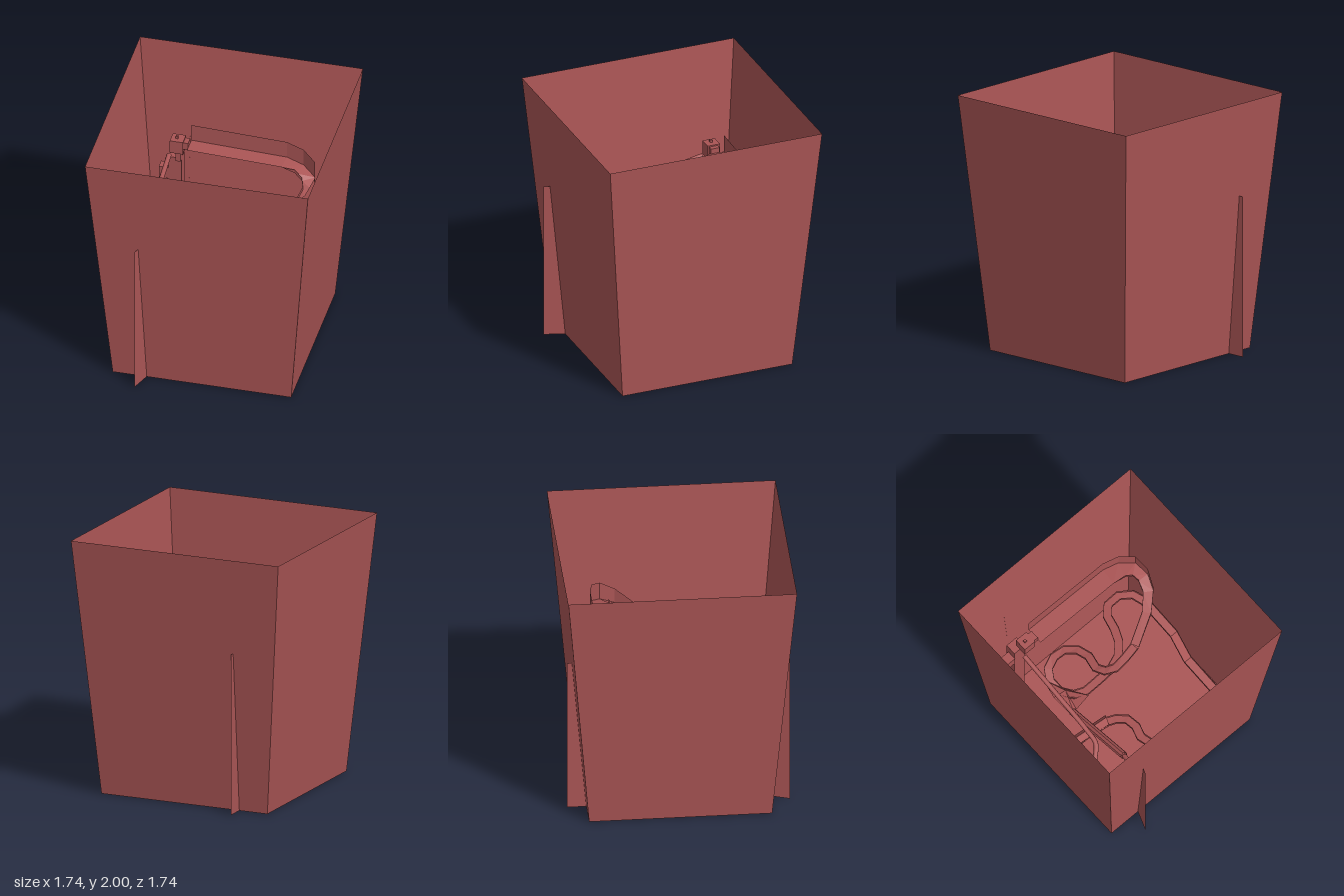
import * as THREE from 'three';

const mat = new THREE.MeshStandardMaterial({ color: 0xaa5555, flatShading: true, side: THREE.DoubleSide });
const smoothMat = new THREE.MeshStandardMaterial({ color: 0xaa5555, side: THREE.DoubleSide });

// grid of cross-sections (arrays of Vector3) joined into a sheet
function loft(rows) {
  const n = rows[0].length, pos = [], idx = [];
  rows.forEach(r => r.forEach(p => pos.push(p.x, p.y, p.z)));
  for (let i = 0; i < rows.length - 1; i++) {
    for (let j = 0; j < n - 1; j++) {
      const a = i * n + j, b = a + 1, c = a + n, d = c + 1;
      idx.push(a, c, b, b, c, d);
    }
  }
  const g = new THREE.BufferGeometry();
  g.setAttribute('position', new THREE.Float32BufferAttribute(pos, 3));
  g.setIndex(idx);
  g.computeVertexNormals();
  return g;
}

const V = (x, y, z) => new THREE.Vector3(x, y, z);

// open channel along [x, y, z, halfWidth, leftWall, rightWall] stations
function channel(stations) {
  const p = stations.map(s => V(s[0], s[1], s[2]));
  return loft(stations.map(([x, y, z, w, hl, hr], i) => {
    const into = p[i].clone().sub(p[Math.max(i - 1, 0)]).setY(0).normalize();
    const out = p[Math.min(i + 1, p.length - 1)].clone().sub(p[i]).setY(0).normalize();
    const d = into.add(out).normalize();
    const at = (o, h) => V(x - d.z * o, y + h, z + d.x * o);
    return [at(-w, hl), at(-w, 0), at(w, 0), at(w, hr)];
  }));
}

export function createModel() {
  const model = new THREE.Group();
  const add = (name, geo, m = mat) => {
    const mesh = new THREE.Mesh(geo, m);
    mesh.name = name;
    model.add(mesh);
    return mesh;
  };
  const box = (name, x0, x1, y0, y1, z0, z1) =>
    add(name, new THREE.BoxGeometry(x1 - x0, y1 - y0, z1 - z0))
      .position.set((x0 + x1) / 2, (y0 + y1) / 2, (z0 + z1) / 2);

  // tapered open bin: four thin walls and a floor
  const B = 0.695, T = 0.868;
  const ring = (r, y) => [V(-r, y, r), V(r, y, r), V(r, y, -r), V(-r, y, -r), V(-r, y, r)];
  add('binWalls', loft([ring(B, 0), ring(T, 2)]));
  add('binFloor', new THREE.PlaneGeometry(2 * B, 2 * B).rotateX(-Math.PI / 2));

  // upright fins poking out through the front and back walls
  const fin = (name, xo, zo, xi, zi, xt, zt) =>
    add(name, loft([[V(xi, 0, zi), V(xo, 0, zo)], [V(xt, 1.255, zt), V(xo, 1.255, zo)]]));
  fin('frontFin', -0.487, 0.85, -0.43, 0.695, -0.47, 0.803);
  fin('backFin', -0.46, -0.84, -0.46, -0.695, -0.46, -0.803);

  // wide upper chute with a tall outer wall, narrowing around the corner
  add('upperChute', channel([
    [-0.4, 1.31, -0.523, 0.068, 0.14, 0], [0.34, 1.28, -0.523, 0.068, 0.14, 0],
    [0.46, 1.25, -0.505, 0.063, 0.14, 0.03], [0.545, 1.2, -0.46, 0.055, 0.14, 0.03],
    [0.565, 1.15, -0.38, 0.045, 0.12, 0.03], [0.53, 1.11, -0.28, 0.04, 0.08, 0.03],
    [0.42, 1.07, -0.17, 0.035, 0.05, 0.03], [0.19, 1.02, -0.045, 0.034, 0.03, 0.03]
  ]));

  // middle chute: hairpin, loop and run under the upper chute
  const midPath = [
    [0.19, 1.0, -0.045], [0.07, 0.98, -0.025], [-0.03, 0.96, -0.02], [-0.1, 0.94, -0.06],
    [-0.13, 0.92, -0.13], [-0.105, 0.9, -0.24], [-0.13, 0.88, -0.34], [-0.2, 0.86, -0.41],
    [-0.29, 0.84, -0.425], [-0.38, 0.82, -0.39], [-0.43, 0.8, -0.31], [-0.425, 0.78, -0.2],
    [-0.36, 0.76, -0.12], [-0.27, 0.75, -0.085], [-0.14, 0.74, -0.09], [0, 0.73, -0.1],
    [0.11, 0.72, -0.145], [0.19, 0.71, -0.23], [0.235, 0.7, -0.33], [0.265, 0.69, -0.45],
    [0.33, 0.68, -0.515], [0.44, 0.67, -0.52], [0.53, 0.66, -0.46], [0.565, 0.65, -0.36]
  ];
  add('middleChute', channel(midPath.map(p => [...p, 0.033, 0.03, 0.03])));

  // lower chute: steep drop, then a winding return to the lift
  const lowPath = [
    [0.565, 0.65, -0.36], [0.565, 0.62, -0.03], [0.565, 0.38, 0.13], [0.565, 0.35, 0.45],
    [0.53, 0.34, 0.53], [0.43, 0.33, 0.56], [0.2, 0.3, 0.51], [0.02, 0.28, 0.475],
    [-0.06, 0.26, 0.42], [-0.08, 0.25, 0.33], [-0.05, 0.24, 0.24], [-0.06, 0.23, 0.15],
    [-0.12, 0.22, 0.09], [-0.18, 0.21, 0.06], [-0.38, 0.17, 0.02], [-0.49, 0.14, 0.015],
    [-0.55, 0.12, -0.04], [-0.56, 0.1, -0.13], [-0.55, 0.08, -0.3]
  ];
  add('lowerChute', channel(lowPath.map(p => [...p, 0.034, 0.03, 0.03])));

  // roof over the lower chute where it passes the pipe
  add('chuteCover', loft([
    [V(-0.19, 0.24, 0.09), V(-0.18, 0.3, 0.05), V(-0.16, 0.24, 0.015)],
    [V(-0.48, 0.2, 0.045), V(-0.48, 0.25, 0.005), V(-0.47, 0.2, -0.03)]
  ]));

  // lift tank, column and header box with spout and knob
  box('catchTank', -0.61, -0.49, 0.01, 0.2, -0.525, -0.28);
  box('liftColumn', -0.57, -0.47, 0, 1.15, -0.65, -0.56);
  box('liftMotor', -0.645, -0.57, 0.95, 1.05, -0.63, -0.555);
  box('headerBox', -0.54, -0.438, 1.25, 1.36, -0.576, -0.475);
  box('headerSpout', -0.438, -0.4, 1.29, 1.35, -0.558, -0.487);
  box('headerKnob', -0.505, -0.485, 1.36, 1.38, -0.535, -0.515);
  box('headerStem', -0.51, -0.47, 1.14, 1.25, -0.59, -0.53);

  // round pipe running forward and curling back
  const pipePts = [V(-0.545, 1.23, -0.475), V(-0.545, 1.15, -0.1), V(-0.547, 1.08, 0.24), V(-0.56, 1.05, 0.36)];
  for (let i = 0; i <= 10; i++) {
    const a = Math.PI * (1.22 - i * 0.122);
    pipePts.push(V(-0.54 + 0.125 * Math.cos(a), 1.0 - i * 0.015, 0.52 + 0.125 * Math.sin(a)));
  }
  add('curledPipe', new THREE.TubeGeometry(new THREE.CatmullRomCurve3(pipePts), 80, 0.019, 10, false), smoothMat);
  add('straightPipe', new THREE.TubeGeometry(
    new THREE.LineCurve3(V(-0.415, 0.85, 0.52), V(-0.415, 0.6, -0.07)), 1, 0.03, 8, false));

  // flared spout at the end of the pipe
  add('flaredSpout', loft([
    [V(-0.445, 0.62, -0.06), V(-0.415, 0.66, -0.07), V(-0.385, 0.62, -0.06)],
    [V(-0.49, 0.78, -0.2), V(-0.4, 0.84, -0.17), V(-0.28, 0.78, -0.04)],
    [V(-0.46, 0.8, -0.36), V(-0.39, 0.8, -0.2), V(-0.28, 0.78, -0.04)]
  ]));
  return model;
}
